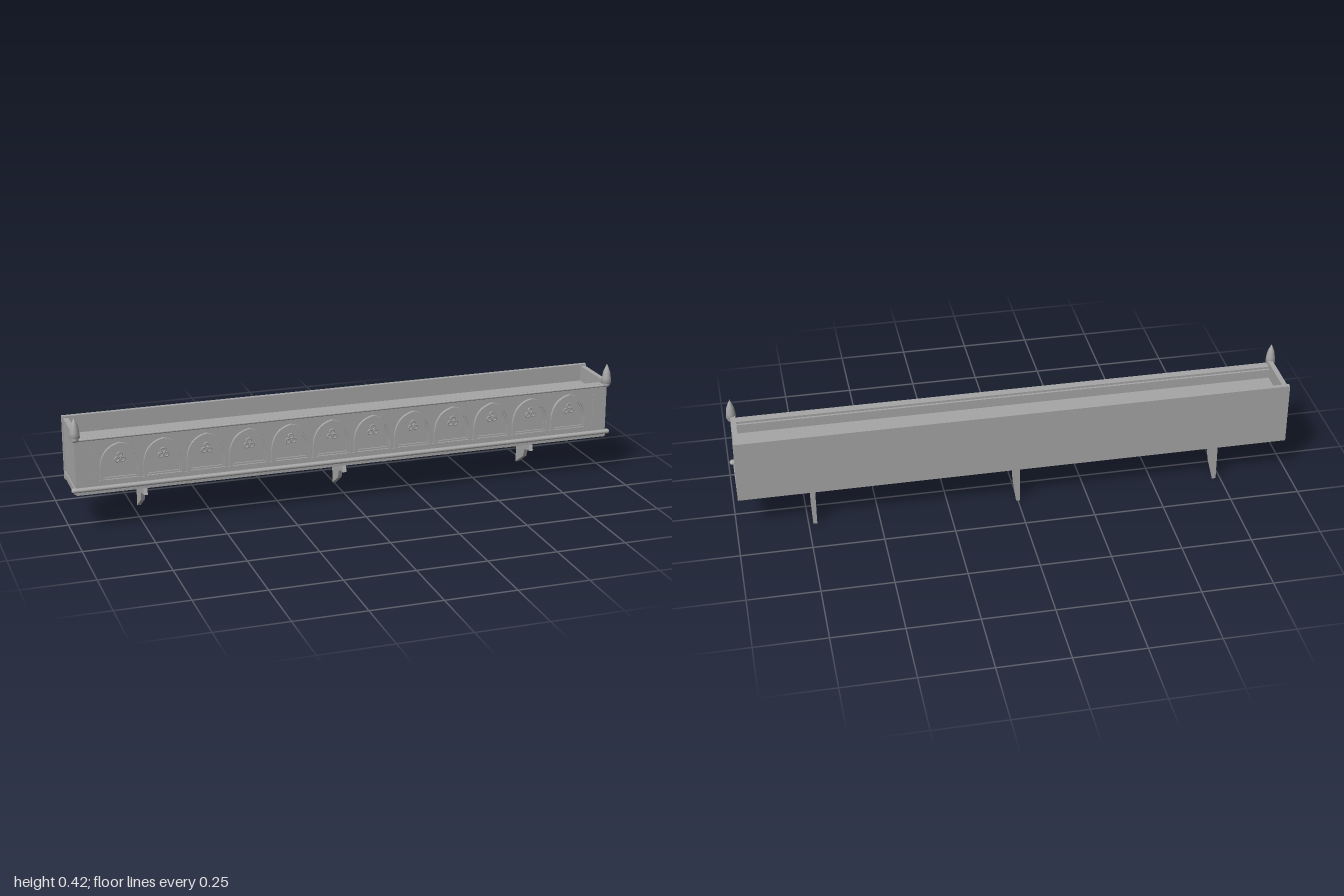
import * as THREE from 'three';

export function createModel() {
  const root = new THREE.Group();
  root.name = 'windowPlanter';
  const stone = new THREE.MeshStandardMaterial({ color: 0xa6a6a6 });
  stone.name = 'grey stone';

  const add = (name, geometry, x = 0, y = 0, z = 0, parent = root) => {
    const mesh = new THREE.Mesh(geometry, stone);
    mesh.name = name;
    mesh.position.set(x, y, z);
    parent.add(mesh);
    return mesh;
  };
  // Box given by its lower and upper corners
  const box = (name, x0, x1, y0, y1, z0, z1, parent = root) =>
    add(name, new THREE.BoxGeometry(x1 - x0, y1 - y0, z1 - z0),
      (x0 + x1) / 2, (y0 + y1) / 2, (z0 + z1) / 2, parent);
  const extrude = (shape, depth) =>
    new THREE.ExtrudeGeometry(shape, { depth, bevelEnabled: false, curveSegments: 10 });

  // Trough
  box('backWall', -0.988, 0.988, 0.133, 0.363, -0.111, -0.095);
  box('frontWall', -0.982, 0.982, 0.14, 0.342, 0.066, 0.096);
  box('floor', -0.982, 0.982, 0.14, 0.16, -0.095, 0.09);
  box('soil', -0.966, 0.966, 0.16, 0.3, -0.096, 0.067);
  box('innerLedge', -0.966, 0.966, 0.3, 0.334, 0.058, 0.067);
  box('bottomBatten', -0.9, 0.9, 0.137, 0.141, 0.022, 0.036);
  for (const s of [-1, 1]) {
    const side = [s * 0.966, s * 0.984].sort((a, b) => a - b);
    box('endWall', side[0], side[1], 0.14, 0.357, -0.096, 0.092);
    const foot = [s * 0.98, s * 0.988].sort((a, b) => a - b);
    box('endSkirting', foot[0], foot[1], 0.141, 0.164, -0.096, 0.088);
  }

  // Rounded mouldings along the front edge
  const bead = (name, y, half, z, r) => {
    const mesh = add(name, new THREE.CapsuleGeometry(r, 2 * (half - r), 4, 12), 0, y, z);
    mesh.rotation.z = Math.PI / 2;
    mesh.scale.z = 1.5;
  };
  bead('lowerMoulding', 0.159, 1, 0.094, 0.0085);
  bead('upperMoulding', 0.337, 0.98, 0.094, 0.005);

  // Spear finials on the front corners
  const finialProfile = [
    [0, 0.333], [0.01, 0.333], [0.0135, 0.338], [0.0135, 0.345], [0.011, 0.349],
    [0.018, 0.347], [0.0165, 0.365], [0.013, 0.388], [0.007, 0.404], [0, 0.419]
  ].map(([r, y]) => new THREE.Vector2(r, y));
  for (const s of [-1, 1]) {
    add('finial', new THREE.LatheGeometry(finialProfile, 12), s * 0.98, 0, 0.094);
  }

  // Arched frieze
  const archPath = (path, w, base, spring, top) => {
    path.moveTo(-w, base);
    path.lineTo(w, base);
    path.lineTo(w, spring);
    path.quadraticCurveTo(w * 0.92, top - 0.012, 0, top);
    path.quadraticCurveTo(-w * 0.92, top - 0.012, -w, spring);
    path.lineTo(-w, base);
    return path;
  };
  const outerFrame = archPath(new THREE.Shape(), 0.071, 0.18, 0.232, 0.318);
  outerFrame.holes.push(archPath(new THREE.Path(), 0.061, 0.19, 0.232, 0.308));
  const innerFrame = archPath(new THREE.Shape(), 0.061, 0.19, 0.232, 0.308);
  innerFrame.holes.push(archPath(new THREE.Path(), 0.055, 0.196, 0.232, 0.301));
  const outerGeometry = extrude(outerFrame, 0.012);
  const innerGeometry = extrude(innerFrame, 0.006);
  const lobeGeometry = new THREE.TorusGeometry(0.008, 0.003, 6, 14);
  for (let i = 0; i < 12; i++) {
    const arch = new THREE.Group();
    arch.name = 'arch';
    arch.position.x = (i - 5.5) * 0.151;
    root.add(arch);
    add('archFrame', outerGeometry, 0, 0, 0.095, arch);
    add('archInnerFrame', innerGeometry, 0, 0, 0.095, arch);
    // Trefoil ornament
    for (let k = 0; k < 3; k++) {
      const a = Math.PI / 2 + k * Math.PI * 2 / 3;
      add('trefoilLobe', lobeGeometry, 0.011 * Math.cos(a), 0.262 + 0.011 * Math.sin(a), 0.098, arch);
    }
  }
  box('friezeSill', -0.905, 0.905, 0.18, 0.186, 0.095, 0.101);
  for (const s of [-1, 1]) {
    box('friezeStile', s * 0.93 - 0.002, s * 0.93 + 0.002, 0.19, 0.308, 0.095, 0.099);
  }

  // Brackets with a cusped profile, drawn as (z, y)
  const profile = new THREE.Shape([
    [-0.111, 0], [-0.1, 0.008], [-0.046, 0.043], [-0.032, 0.077], [0.013, 0.083],
    [0, 0.115], [0.025, 0.141], [-0.111, 0.141]
  ].map(([z, y]) => new THREE.Vector2(-z, y)));
  const bracketGeometry = extrude(profile, 0.014);
  bracketGeometry.translate(0, 0, -0.007);
  bracketGeometry.rotateY(Math.PI / 2);
  // After the turn the profile's first axis runs along -z
  for (const x of [-0.727, 0, 0.727]) {
    const bracket = new THREE.Group();
    bracket.name = 'bracket';
    bracket.position.x = x;
    root.add(bracket);
    add('bracketPlate', bracketGeometry, 0, 0, 0, bracket);
    add('bracketStud', new THREE.OctahedronGeometry(0.011), 0, 0.096, -0.052, bracket);
  }
  return root;
}
